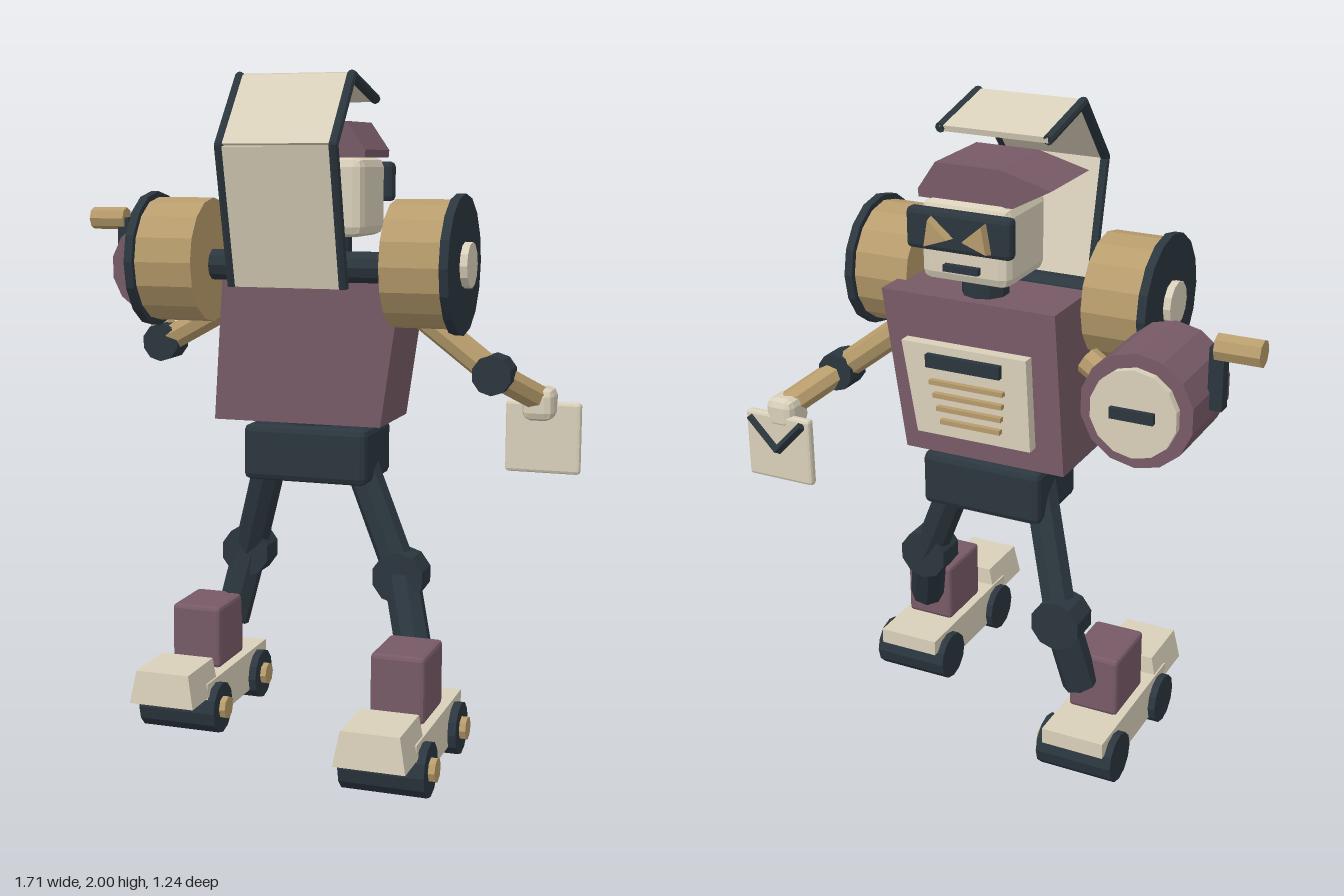
import * as THREE from 'three';
import { RoundedBoxGeometry } from 'three/addons/geometries/RoundedBoxGeometry.js';

const mat = (color) => new THREE.MeshStandardMaterial({ color, flatShading: true });
const maroon = mat(0x775a66), cream = mat(0xd9d0ba), tan = mat(0xb79c6c), dark = mat(0x2b363e);

export function createModel() {
  const root = new THREE.Group();
  const V = (p) => new THREE.Vector3(...p);

  const add = (name, geo, material, pos = [0, 0, 0], parent = root) => {
    const m = new THREE.Mesh(geo, material);
    m.name = name;
    m.position.set(...pos);
    parent.add(m);
    return m;
  };
  const group = (name) => {
    const g = new THREE.Group();
    g.name = name;
    root.add(g);
    return g;
  };
  const box = (name, material, size, pos, parent) =>
    add(name, new THREE.BoxGeometry(...size), material, pos, parent);
  // Box with chamfered edges
  const chamfer = (name, material, size, pos, bevel, parent) =>
    add(name, new RoundedBoxGeometry(...size, 1, bevel), material, pos, parent);
  // Box whose top is scaled and shifted against its base
  const taper = (name, material, size, pos, top, shift, parent) => {
    const g = new THREE.BoxGeometry(...size), p = g.attributes.position;
    for (let i = 0; i < p.count; i++) if (p.getY(i) > 0) {
      p.setX(i, p.getX(i) * top[0] + shift[0]);
      p.setZ(i, p.getZ(i) * top[1] + shift[1]);
    }
    return add(name, g, material, pos, parent);
  };
  // Cylinder running between two points
  const rod = (name, material, a, b, r, sides = 8, parent = root, r2 = r) => {
    const d = V(b).sub(V(a));
    const m = add(name, new THREE.CylinderGeometry(r2, r, d.length(), sides), material,
      V(a).add(V(b)).multiplyScalar(0.5).toArray(), parent);
    m.quaternion.setFromUnitVectors(new THREE.Vector3(0, 1, 0), d.normalize());
    return m;
  };

  // Torso and pelvis
  taper('torso', maroon, [0.52, 0.49, 0.29], [0.06, 1.215, -0.008], [1.075, 1], [0.05, 0]);
  chamfer('pelvis', dark, [0.39, 0.17, 0.27], [0.077, 0.87, -0.016], 0.02);
  rod('waist', dark, [0.07, 0.93, -0.01], [0.07, 0.99, -0.01], 0.1, 10);

  // Chest plate with a bar and four slots
  const chest = group('chestPlate');
  taper('plate', cream, [0.37, 0.28, 0.04], [0.075, 1.185, -0.17], [1.09, 1], [0.03, 0], chest);
  box('chestBar', dark, [0.24, 0.04, 0.025], [0.1, 1.28, -0.195], chest);
  for (let i = 0; i < 4; i++)
    box('chestSlot', tan, [0.24 - i * 0.015, 0.014, 0.02], [0.09 - i * 0.004, 1.215 - i * 0.04, -0.197], chest);

  // Head
  const head = group('head');
  rod('neck', dark, [0.1, 1.43, -0.05], [0.1, 1.55, -0.05], 0.07, 10, head);
  chamfer('skull', cream, [0.28, 0.235, 0.255], [0.1, 1.637, -0.058], 0.03, head);
  chamfer('goggles', dark, [0.33, 0.12, 0.045], [0.098, 1.68, -0.2], 0.015, head);
  for (const s of [-1, 1]) {
    const eye = add('eye', new THREE.CylinderGeometry(0.045, 0.055, 0.04, 3), tan, [0.093 + s * 0.068, 1.675, -0.23], head);
    eye.rotation.set(-Math.PI / 2, s * 0.35, 0);
  }
  box('mouth', dark, [0.11, 0.02, 0.03], [0.1, 1.57, -0.19], head);
  // Cap with a brim tip on one side
  const capShape = new THREE.Shape([[-0.158, 1.815], [-0.04, 1.752], [0.255, 1.752], [0.257, 1.775],
    [0.2, 1.857], [0.0, 1.857]].map(([x, y]) => new THREE.Vector2(x, y)));
  add('cap', new THREE.ExtrudeGeometry(capShape, { depth: 0.25, bevelEnabled: false }), maroon, [0, 0, -0.155], head);

  // Folded shell over the back: panels between two bent rails
  const shell = group('backShell');
  const fold = [[1.385, 0.262], [1.785, 0.362], [1.982, 0.196], [1.923, -0.04]];
  for (let i = 0; i < 3; i++) {
    const [y0, z0] = fold[i], [y1, z1] = fold[i + 1];
    const panel = box('shellPanel', cream, [0.34, Math.hypot(y1 - y0, z1 - z0), 0.018],
      [0.077, (y0 + y1) / 2, (z0 + z1) / 2], shell);
    panel.rotation.x = Math.atan2(z1 - z0, y1 - y0);
    for (const x of [-0.092, 0.246]) rod('shellRail', dark, [x, y0, z0], [x, y1, z1], 0.015, 8, shell);
  }
  for (const x of [-0.092, 0.246])
    for (const [y, z] of fold.slice(1, 3)) add('railJoint', new THREE.SphereGeometry(0.015, 8, 6), dark, [x, y, z], shell);

  // Shoulder axle and drums
  rod('shoulderAxle', dark, [-0.25, 1.437, 0.123], [0.42, 1.437, 0.123], 0.047, 10);
  for (const s of [-1, 1]) {
    const drum = group(s < 0 ? 'rightShoulder' : 'leftShoulder');
    const at = (x) => [0.077 + s * x, 1.45, 0.123];
    rod('shoulderDrum', tan, at(0.283), at(0.462), 0.185, 16, drum);
    rod('shoulderDisc', dark, at(0.46), at(0.486), 0.202, 16, drum);
    rod('shoulderHub', cream, at(0.48), at(0.508), 0.066, 12, drum);
  }

  // Arms
  const arm = (name, shoulder, elbow, hand) => {
    const g = group(name);
    rod('upperArm', tan, shoulder, elbow, 0.042, 8, g);
    rod('forearm', tan, elbow, hand, 0.042, 8, g);
    rod('elbow', dark, [elbow[0], elbow[1], elbow[2] + 0.045], [elbow[0], elbow[1], elbow[2] - 0.045], 0.06, 10, g);
    return g;
  };
  const leftArm = arm('leftArm', [0.39, 1.3, -0.02], [0.622, 1.122, -0.025], [0.73, 1.035, -0.17]);
  chamfer('leftHand', cream, [0.095, 0.1, 0.11], [0.73, 1.02, -0.18], 0.025, leftArm);
  // Board held in the left hand, with a V mark
  const board = group('board');
  chamfer('boardPanel', cream, [0.23, 0.22, 0.03], [0.735, 0.91, -0.218], 0.01, board);
  for (const s of [-1, 1])
    rod('boardMark', dark, [0.735, 0.905, -0.243], [0.735 + s * 0.095, 1.005, -0.243], 0.014, 4, board);

  const rightArm = arm('rightArm', [-0.22, 1.3, -0.04], [-0.455, 1.175, -0.08], [-0.555, 1.34, -0.24]);
  chamfer('rightHand', cream, [0.1, 0.09, 0.09], [-0.555, 1.35, -0.235], 0.025, rightArm);
  // Cranked drum held in the right hand
  const crank = group('crankDrum');
  rod('drumBody', maroon, [-0.574, 1.394, -0.268], [-0.574, 1.394, -0.535], 0.156, 14, crank);
  rod('drumFace', cream, [-0.574, 1.394, -0.53], [-0.574, 1.394, -0.557], 0.12, 14, crank);
  box('drumSlot', dark, [0.12, 0.03, 0.02], [-0.574, 1.394, -0.56], crank);
  box('crankLever', dark, [0.04, 0.17, 0.04], [-0.74, 1.468, -0.4], crank);
  rod('crankHandle', tan, [-0.735, 1.55, -0.4], [-0.857, 1.55, -0.4], 0.037, 8, crank);

  // Legs, each standing on a small truck
  const leg = (name, hip, knee, ankle, x, z) => {
    const g = group(name);
    rod('thigh', dark, hip, knee, 0.052, 8, g);
    rod('shin', dark, knee, ankle, 0.055, 8, g);
    rod('knee', dark, [knee[0], knee[1], knee[2] - 0.05], [knee[0], knee[1], knee[2] + 0.05], 0.08, 10, g);
    chamfer('ankleBlock', maroon, [0.16, 0.195, 0.21], [x, 0.268, z - 0.11], 0.012, g);
    // Truck body
    box('truckChassis', cream, [0.2, 0.12, 0.32], [x, 0.1, z - 0.115], g);
    box('truckDeck', cream, [0.2, 0.05, 0.51], [x, 0.143, z - 0.11], g);
    taper('truckCab', cream, [0.205, 0.1, 0.205], [x, 0.177, z + 0.167], [0.82, 0.95], [0, -0.005], g);
    // Wheels, with a hub on the outer side
    for (const wz of [z - 0.28, z + 0.08]) {
      rod('wheel', dark, [x - 0.123, 0.078, wz], [x + 0.124, 0.078, wz], 0.078, 12, g);
      rod('wheelHub', tan, [x + 0.12, 0.08, wz], [x + 0.143, 0.08, wz], 0.035, 8, g);
    }
  };
  leg('leftLeg', [0.2, 0.88, -0.01], [0.365, 0.51, 0.045], [0.44, 0.28, 0.15], 0.45, 0.3 + 0.096);
  leg('rightLeg', [-0.07, 0.88, -0.04], [-0.2, 0.5, -0.16], [-0.25, 0.27, -0.125], -0.286, 0.1);

  return root;
}
